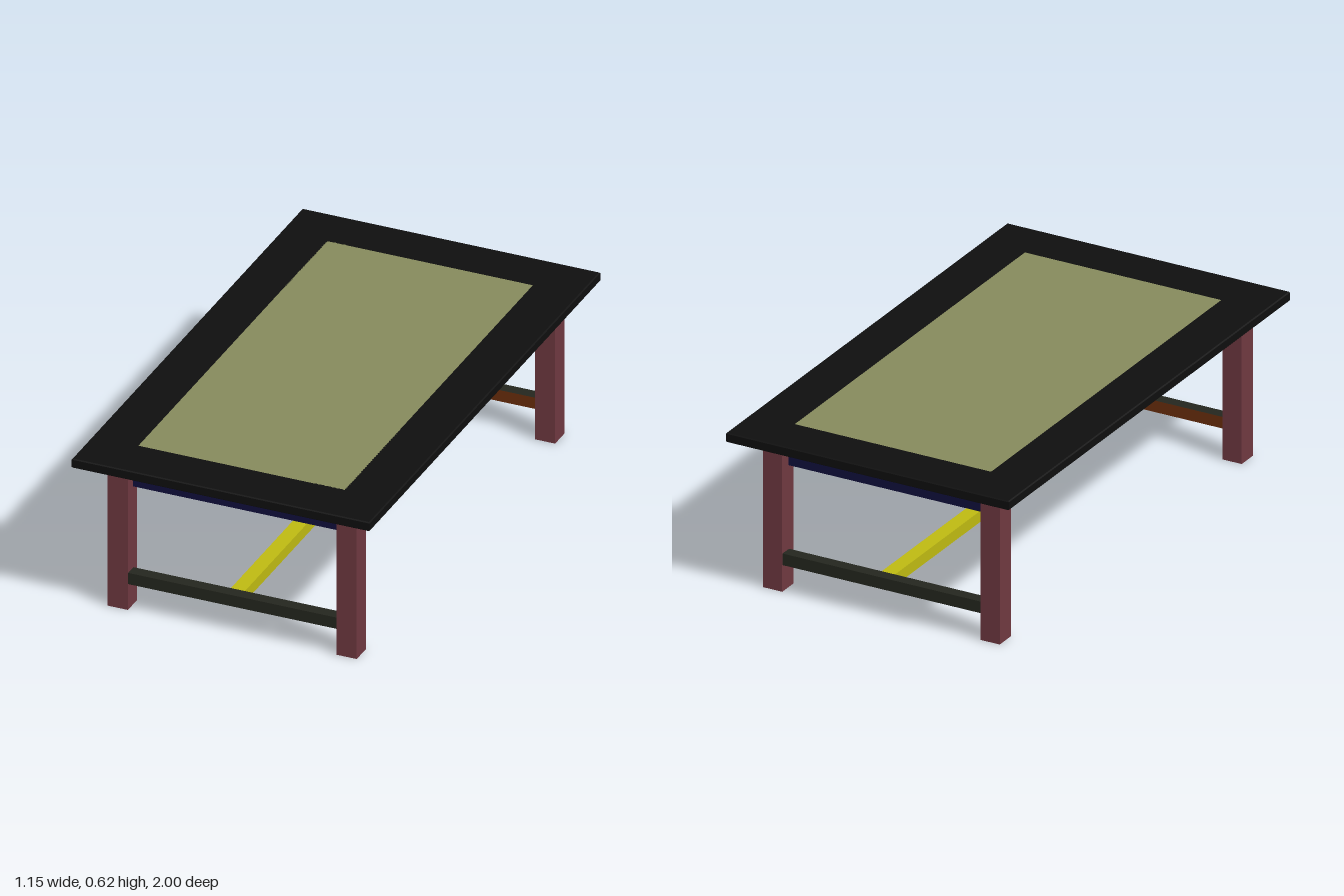
import * as THREE from 'three';

const mat = (color) => new THREE.MeshStandardMaterial({ color });

export function createModel() {
  const group = new THREE.Group();
  const black = mat(0x0e0e0e), olive = mat(0x858a5c), legMat = mat(0x6e3840);
  const blue = mat(0x100f3c), purple = mat(0x2a0e28), yellow = mat(0xbdb912);
  const dark = mat(0x24261e), brown = mat(0x6a2e0c);

  // box from its min and max corners
  const box = (name, material, [x0, y0, z0], [x1, y1, z1]) => {
    const mesh = new THREE.Mesh(new THREE.BoxGeometry(x1 - x0, y1 - y0, z1 - z0), material);
    mesh.position.set((x0 + x1) / 2, (y0 + y1) / 2, (z0 + z1) / 2);
    mesh.name = name;
    group.add(mesh);
    return mesh;
  };
  const rect = (target, hx, hz) => {
    target.moveTo(-hx, -hz).lineTo(hx, -hz).lineTo(hx, hz).lineTo(-hx, hz).closePath();
    return target;
  };

  // table top frame with small bevelled edges
  const top = 0.62, under = 0.583, b = 0.004;
  const shape = rect(new THREE.Shape(), 0.574 - b, 1 - b);
  shape.holes.push(rect(new THREE.Path(), 0.4 - b, 0.82 - b));
  const frameGeo = new THREE.ExtrudeGeometry(shape, {
    depth: top - under - 2 * b, bevelEnabled: true, bevelThickness: b, bevelSize: b, bevelSegments: 1,
  });
  frameGeo.rotateX(-Math.PI / 2);
  const frame = new THREE.Mesh(frameGeo, black);
  frame.position.y = under + b;
  frame.name = 'topFrame';
  group.add(frame);

  // inset panel
  box('topPanel', olive, [-0.398, under, -0.818], [0.398, top, 0.818]);

  // legs
  for (const sx of [-1, 1]) for (const sz of [-1, 1]) {
    const leg = box('leg', legMat, [0.402, 0, 0.82], [0.48, under, 0.9]);
    leg.position.x *= sx;
    leg.position.z *= sz;
  }

  for (const s of [-1, 1]) {
    // aprons under the top
    box('endApron', blue, [-0.402, 0.475, 0.832], [0.402, under, 0.856]).position.z *= s;
    box('sideApron', purple, [0.412, 0.48, -0.82], [0.436, under, 0.82]).position.x *= s;

    // end stretchers: dark top and outer face, brown inside and below
    const faces = [dark, dark, dark, brown, dark, brown];
    const stretcher = box('endStretcher', faces, [-0.404, 0.103, 0.852], [0.404, 0.148, 0.898]);
    if (s < 0) {
      stretcher.position.z *= -1;
      stretcher.rotation.y = Math.PI;
    }
  }

  // long middle stretcher
  box('longStretcher', yellow, [-0.027, 0.104, -0.852], [0.027, 0.147, 0.852]);

  return group;
}
